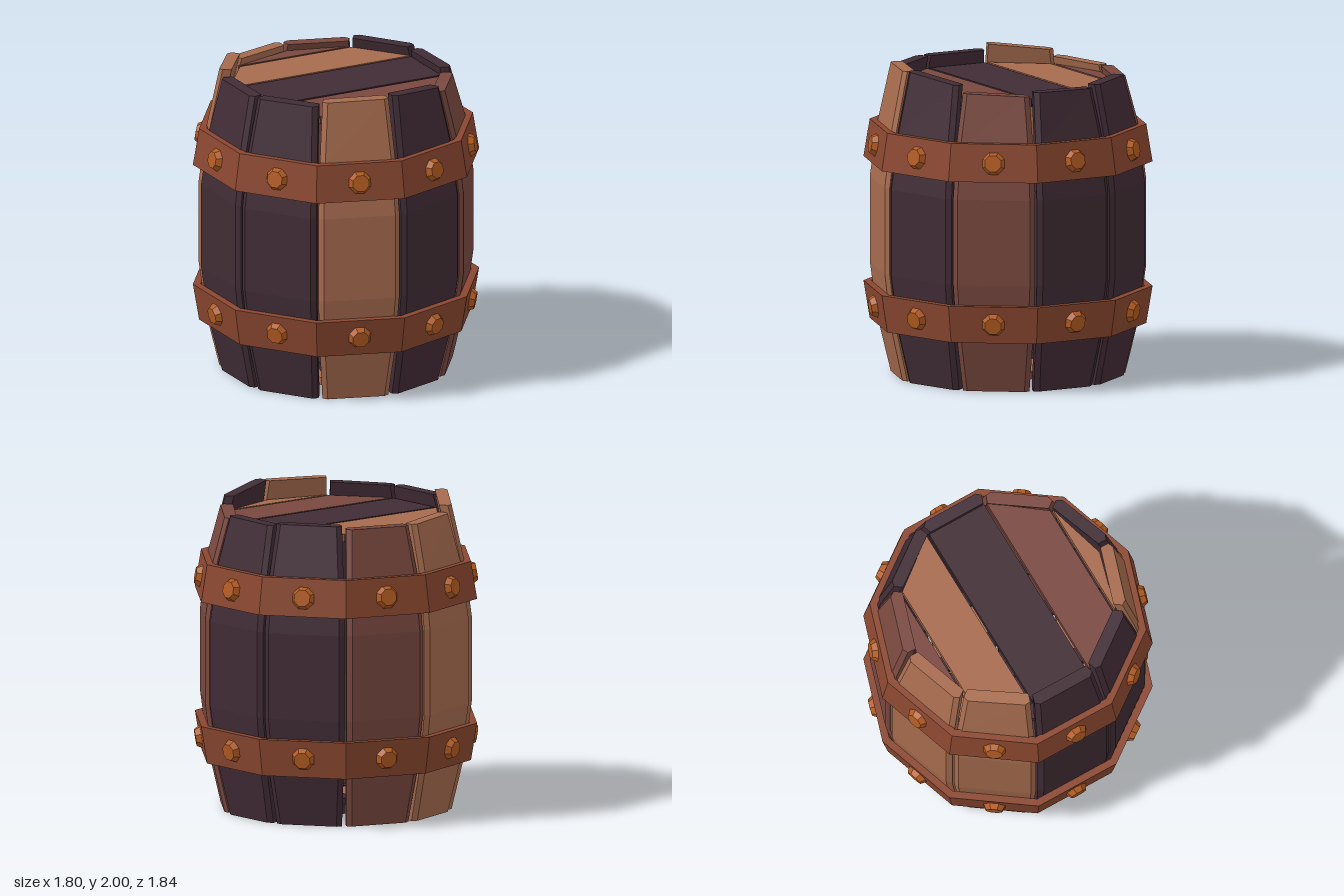
import * as THREE from 'three';

const mat = (name, color) => {
  const m = new THREE.MeshStandardMaterial({ color });
  m.name = name;
  return m;
};

// faceted normals
function flat(geo) {
  const g = geo.index ? geo.toNonIndexed() : geo;
  g.computeVertexNormals();
  return g;
}

const STEP = Math.PI / 5;
const TAN = Math.tan(STEP / 2);
const THICK = 0.08;

// bowed stave with chamfered outer edges; the top may slope from one side to the other
function staveGeometry(topA, topB) {
  // height, distance from the axis, side gap
  const levels = [[0, 0.72, 0.014], [0.35, 0.8, 0.009], [0.7, 0.845, 0.006],
    [1.25, 0.845, 0.006], [1.6, 0.8, 0.009], [null, 0.72, 0.014]];
  const pos = [], idx = [], n = 6;
  for (const [y, r, gap] of levels) {
    const h = (r - 0.025) * TAN - gap, hi = (r - THICK) * TAN - gap;
    const ring = [[-h, r - 0.025], [-h + 0.03, r], [h - 0.03, r],
      [h, r - 0.025], [hi, r - THICK], [-hi, r - THICK]];
    for (const [x, z] of ring) {
      const top = topA + (topB - topA) * (x / h + 1) / 2;
      pos.push(x, y === null ? top : y, z);
    }
  }
  const last = (levels.length - 1) * n;
  for (let l = 0; l < last; l += n) {
    for (let i = 0; i < n; i++) {
      const j = (i + 1) % n;
      idx.push(l + i, l + j, l + n + j, l + i, l + n + j, l + n + i);
    }
  }
  for (let i = 1; i < n - 1; i++) {
    idx.push(last, last + i, last + i + 1, 0, i + 1, i);
  }
  const g = new THREE.BufferGeometry();
  g.setAttribute('position', new THREE.Float32BufferAttribute(pos, 3));
  g.setIndex(idx);
  return flat(g);
}

// plank of a ten-sided head, between two chords given as angles from the plank direction
function plankGeometry(degA, degB, thick) {
  const R = 0.68, gap = 0.009;
  const at = (d) => [R * Math.sin(d * Math.PI / 180), R * Math.cos(d * Math.PI / 180)];
  const [pa, la] = at(degA), [pb, lb] = at(degB);
  const s = new THREE.Shape();
  s.moveTo(pa + gap, -la);
  s.lineTo(pb - gap, -lb);
  if (lb > 0.001) s.lineTo(pb - gap, lb);
  if (la > 0.001) s.lineTo(pa + gap, la);
  s.closePath();
  const g = new THREE.ExtrudeGeometry(s, { depth: thick, bevelEnabled: false });
  return flat(g.rotateX(-Math.PI / 2));
}

export function createModel() {
  const model = new THREE.Group();
  model.name = 'barrel';
  const light = mat('lightWood', 0xa66b4e);
  const dark = mat('darkWood', 0x412c35);
  const red = mat('redWood', 0x79483f);
  const band = mat('hoopCopper', 0x8a4730);
  const rivet = mat('rivetOrange', 0xb35c22);

  const add = (parent, name, geo, material) => {
    const m = new THREE.Mesh(geo, material);
    m.name = name;
    parent.add(m);
    return m;
  };

  // staves, counted from the front towards the left side
  const staves = [
    [dark, 1.95, 1.955], [light, 1.985, 1.99], [dark, 2.0, 1.955], [red, 1.91, 1.895],
    [dark, 1.92, 1.915], [dark, 1.93, 1.93], [red, 1.91, 1.91], [light, 1.91, 1.92],
    [light, 1.96, 1.99], [dark, 1.95, 1.95],
  ];
  staves.forEach(([m, a, b], k) => {
    add(model, 'stave', staveGeometry(a, b), m).rotation.y = STEP * (k + 0.5);
  });

  // tapered hoops with a rivet on each face
  for (const [mid, lean] of [[1.49, 1], [0.45, -1]]) {
    const hoop = new THREE.Group();
    hoop.name = lean > 0 ? 'upperHoop' : 'lowerHoop';
    hoop.position.y = mid;
    model.add(hoop);
    const rl = 0.9 + 0.02 * lean, ru = 0.9 - 0.02 * lean;
    const profile = [[rl, -0.12], [ru, 0.12], [ru - 0.05, 0.12], [rl - 0.05, -0.12], [rl, -0.12]]
      .map(([x, y]) => new THREE.Vector2(x, y));
    add(hoop, 'hoopBand', flat(new THREE.LatheGeometry(profile, 10)), band);
    for (let k = 0; k < 10; k++) {
      const g = new THREE.CylinderGeometry(0.055, 0.08, 0.045, 8);
      g.rotateY(Math.PI / 8).rotateX(Math.PI / 2 - 0.16 * lean);
      g.translate(0, 0, 0.87).rotateY(STEP * (k + 0.5));
      add(hoop, 'rivet', flat(g), rivet);
    }
  }

  // a planked head with two braces on its inner side
  function head(name, y, turn, angles, colours, braceY) {
    const g = new THREE.Group();
    g.name = name;
    g.rotation.y = turn;
    g.position.y = y;
    model.add(g);
    colours.forEach((m, i) => add(g, 'plank', plankGeometry(angles[i], angles[i + 1], 0.05), m));
    for (const z of [-0.17, 0.14]) {
      add(g, 'brace', new THREE.BoxGeometry(1.18, 0.04, 0.1), dark).position.set(0, braceY, z);
    }
  }
  head('lid', 1.82, -STEP / 2, [-90, -54, -18, 18, 54, 90], [red, light, dark, red, light], -0.02);
  head('bottom', 0.07, -STEP, [-72, -36, 0, 36, 72], [dark, light, dark, light], 0.07);

  return model;
}
